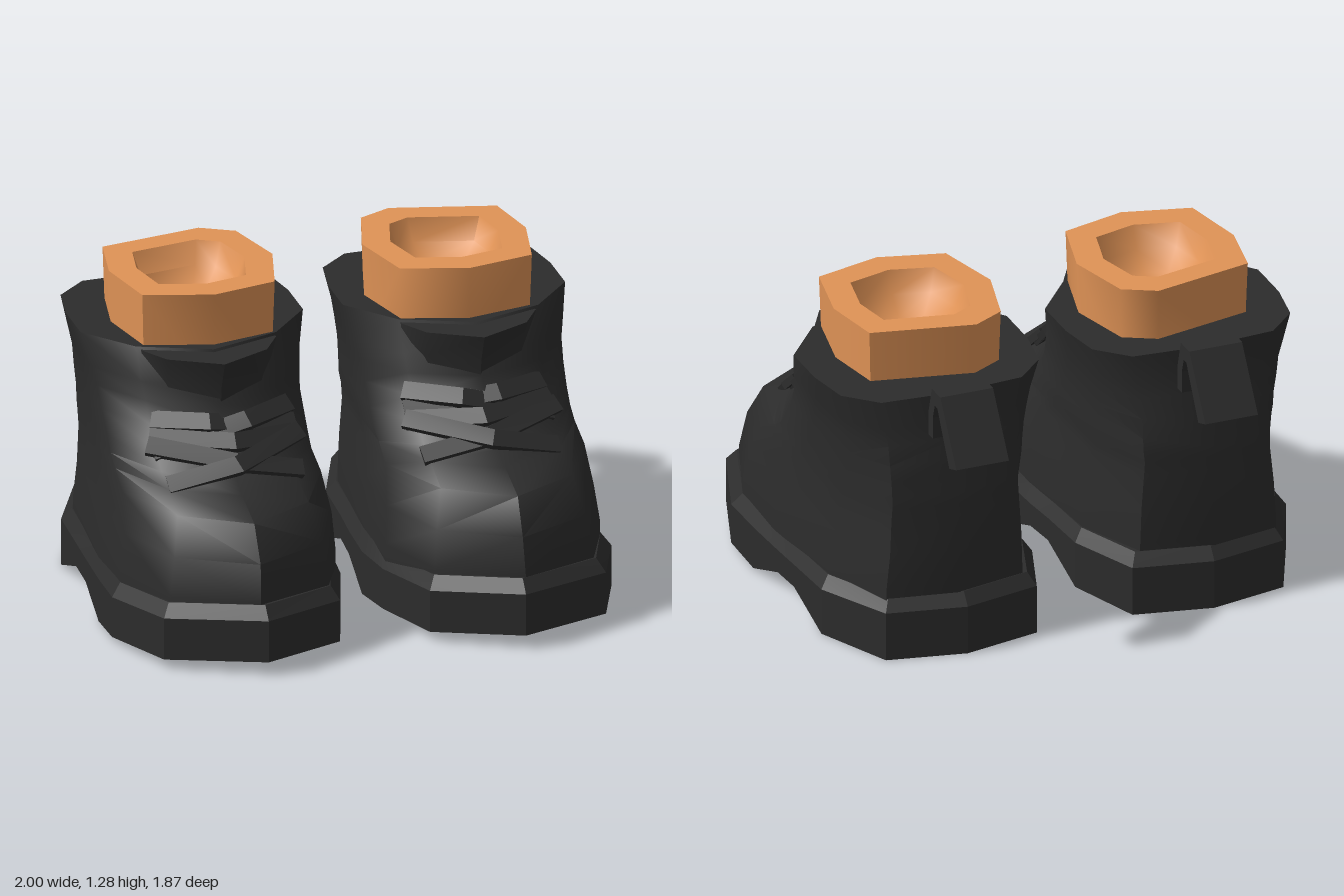
import * as THREE from 'three';
import { toCreasedNormals } from 'three/addons/utils/BufferGeometryUtils.js';

const CX = 0.52; // centre line of one boot

// Skin a list of equal-length rings of [x, y, z]; both ends are closed with fans.
function loft(rings, crease) {
  const n = rings[0].length;
  const pos = rings.flat(2);
  const idx = [];
  for (let j = 0; j < rings.length - 1; j++) {
    for (let i = 0; i < n; i++) {
      const a = j * n + i, b = j * n + (i + 1) % n;
      idx.push(a, a + n, b, b, a + n, b + n);
    }
  }
  const cap = (j, flip) => {
    const c = pos.length / 3;
    for (let k = 0; k < 3; k++) pos.push(rings[j].reduce((s, p) => s + p[k], 0) / n);
    for (let i = 0; i < n; i++) {
      const a = j * n + i, b = j * n + (i + 1) % n;
      if (flip) idx.push(c, b, a); else idx.push(c, a, b);
    }
  };
  cap(0, false);
  cap(rings.length - 1, true);
  const g = new THREE.BufferGeometry();
  g.setAttribute('position', new THREE.Float32BufferAttribute(pos, 3));
  g.setIndex(idx);
  return toCreasedNormals(g, crease);
}

// Mirror a non-indexed geometry in x and restore its winding.
function mirrored(geo) {
  const g = geo.clone().scale(-1, 1, 1);
  for (const name of ['position', 'normal']) {
    const a = g.attributes[name].array;
    for (let t = 0; t < a.length; t += 9) {
      for (let k = 3; k < 6; k++) [a[t + k], a[t + k + 3]] = [a[t + k + 3], a[t + k]];
    }
  }
  return g;
}

// Horizontal slice of the boot: pointed toe, blunt heel; k is the width of the toe corners.
function slice([y, xl, xr, zb, zf, zm, k]) {
  const half = [[1, 0.4], [k, 0.79], [0, 1], [-k, 0.79], [-1, 0.4], [-1, 0],
    [-0.93, -0.57], [-0.66, -0.93], [0, -1], [0.66, -0.93], [0.93, -0.57]];
  return [[1, 0], ...half].map(([u, v]) =>
    [(xl + xr) / 2 + u * (xr - xl) / 2, y, zm + Math.abs(v) * ((v > 0 ? zf : zb) - zm)]);
}

function upper() {
  return loft([
    [0.20, 0.10, 0.96, -0.735, 0.88, 0.10, 0.74],
    [0.28, 0.10, 0.96, -0.735, 0.88, 0.10, 0.74],
    [0.43, 0.11, 0.94, -0.735, 0.855, 0.08, 0.72],
    [0.57, 0.13, 0.925, -0.72, 0.775, 0.00, 0.66],
    [0.62, 0.135, 0.92, -0.715, 0.60, -0.08, 0.66],
    [0.66, 0.13, 0.92, -0.71, 0.50, -0.12, 0.66],
    [0.72, 0.13, 0.92, -0.70, 0.42, -0.15, 0.66],
    [0.80, 0.13, 0.925, -0.69, 0.33, -0.20, 0.66],
    [0.88, 0.12, 0.93, -0.675, 0.28, -0.24, 0.66],
    [0.95, 0.11, 0.945, -0.665, 0.26, -0.28, 0.66],
    [1.07, 0.08, 0.97, -0.66, 0.19, -0.33, 0.63],
  ].map(slice), 0.9);
}

// Sole: cross-sections from toe to heel, with an arched underside and bevelled welt.
function sole() {
  const stations = [ // z, inner x, outer x, bottom y, side top y
    [0.935, 0.515, 0.515, 0.055, 0.225],
    [0.76, 0.18, 0.885, 0.04, 0.21],
    [0.43, 0.085, 1.0, 0.02, 0.185],
    [0.22, 0.06, 0.995, 0.005, 0.18],
    [0.0, 0.07, 0.985, 0.085, 0.18],
    [-0.15, 0.08, 0.98, 0.09, 0.185],
    [-0.40, 0.09, 0.97, 0, 0.19],
    [-0.71, 0.20, 0.83, 0, 0.20],
    [-0.775, 0.515, 0.515, 0, 0.20],
  ];
  return loft(stations.map(([z, l, r, yb, yt]) => {
    const inL = CX + (l - CX) * 0.92, inR = CX + (r - CX) * 0.92;
    const zi = z * 0.95, y2 = yt + 0.05;
    return [[l, yb, z], [r, yb, z], [r, yt, z], [inR, y2, zi], [inL, y2, zi], [l, yt, z]];
  }), 0.2);
}

// Flared tongue rising out of the front of the ankle.
function tongue() {
  const ring = (y, pts) => pts.map(([x, z]) => [x, y, z]);
  return loft([
    ring(0.84, [[0.76, -0.1], [0.77, 0.06], [0.70, 0.18], [0.52, 0.27], [0.34, 0.18], [0.27, 0.06], [0.28, -0.1]]),
    ring(0.95, [[0.76, -0.1], [0.78, 0.09], [0.71, 0.192], [0.52, 0.285], [0.33, 0.192], [0.26, 0.09], [0.28, -0.1]]),
    ring(1.06, [[0.76, -0.1], [0.79, 0.10], [0.72, 0.22], [0.52, 0.33], [0.32, 0.22], [0.25, 0.10], [0.28, -0.1]]),
  ], 0.8);
}

// Flat lace draped through three points.
function lace(pts) {
  const P = pts.map((p) => new THREE.Vector3(...p));
  const half = 0.036, thick = 0.03;
  const rings = P.map((p, i) => {
    const t = P[Math.min(i + 1, 2)].clone().sub(P[Math.max(i - 1, 0)]).normalize();
    const n = new THREE.Vector3((p.x - CX) * 1.3, 0.75, 0.65);
    n.addScaledVector(t, -n.dot(t)).normalize();
    const w = t.clone().cross(n);
    return [[-1, -1], [1, -1], [1, 1], [-1, 1]].map(([u, v]) =>
      p.clone().addScaledVector(w, u * half).addScaledVector(n, v * thick / 2).toArray());
  });
  return loft(rings, 0.2);
}

// Bent pull tab at the heel.
function pullTab() {
  const outline = [[-0.655, 0.91], [-0.655, 1.0], [-0.69, 1.12], [-0.775, 1.12], [-0.935, 0.88],
    [-0.865, 0.855], [-0.745, 1.06], [-0.72, 1.06], [-0.70, 1.0], [-0.70, 0.91]];
  const shape = new THREE.Shape(outline.map(([z, y]) => new THREE.Vector2(-z, y)));
  const g = new THREE.ExtrudeGeometry(shape, { depth: 0.22, bevelEnabled: false });
  return toCreasedNormals(g.rotateY(Math.PI / 2).translate(0.41, 0, 0), 0.2);
}

// Eight-sided ankle with a rounded hollow in the top.
function ankle() {
  const outline = [[0.835, -0.2], [0.78, 0.08], [0.51, 0.15], [0.25, 0.08],
    [0.18, -0.2], [0.25, -0.47], [0.38, -0.54], [0.79, -0.45]];
  const ring = (y, s) => outline.map(([x, z]) => [0.51 + (x - 0.51) * s, y, -0.2 + (z + 0.2) * s]);
  return loft([ring(0.9, 0.96), ring(1.28, 1), ring(1.28, 0.66), ring(1.19, 0.56),
    ring(1.12, 0.36), ring(1.09, 0.12)], 1.1);
}

export function createModel() {
  const black = new THREE.MeshStandardMaterial({ color: 0x2c2c2c });
  black.name = 'black leather';
  const skin = new THREE.MeshStandardMaterial({ color: 0xe09356 });
  skin.name = 'tan skin';

  const parts = [
    ['upper', upper(), black],
    ['sole', sole(), black],
    ['tongue', tongue(), black],
    ['pullTab', pullTab(), black],
    ['ankle', ankle(), skin],
  ];
  const laces = [
    [[0.24, 0.64, 0.44], [0.51, 0.70, 0.46], [0.82, 0.74, 0.29]],
    [[0.21, 0.74, 0.29], [0.51, 0.70, 0.49], [0.78, 0.63, 0.45]],
    [[0.22, 0.73, 0.28], [0.50, 0.76, 0.40], [0.80, 0.76, 0.25]],
    [[0.23, 0.82, 0.20], [0.43, 0.82, 0.33], [0.80, 0.71, 0.30]],
    [[0.22, 0.76, 0.25], [0.58, 0.82, 0.32], [0.78, 0.81, 0.21]],
  ];
  laces.forEach((p, i) => parts.push([`lace${i + 1}`, lace(p), black]));

  const model = new THREE.Group();
  for (const side of ['left', 'right']) {
    const boot = new THREE.Group();
    boot.name = `${side}Boot`;
    for (const [name, geo, mat] of parts) {
      const mesh = new THREE.Mesh(side === 'left' ? geo : mirrored(geo), mat);
      mesh.name = name;
      boot.add(mesh);
    }
    model.add(boot);
  }
  return model;
}
